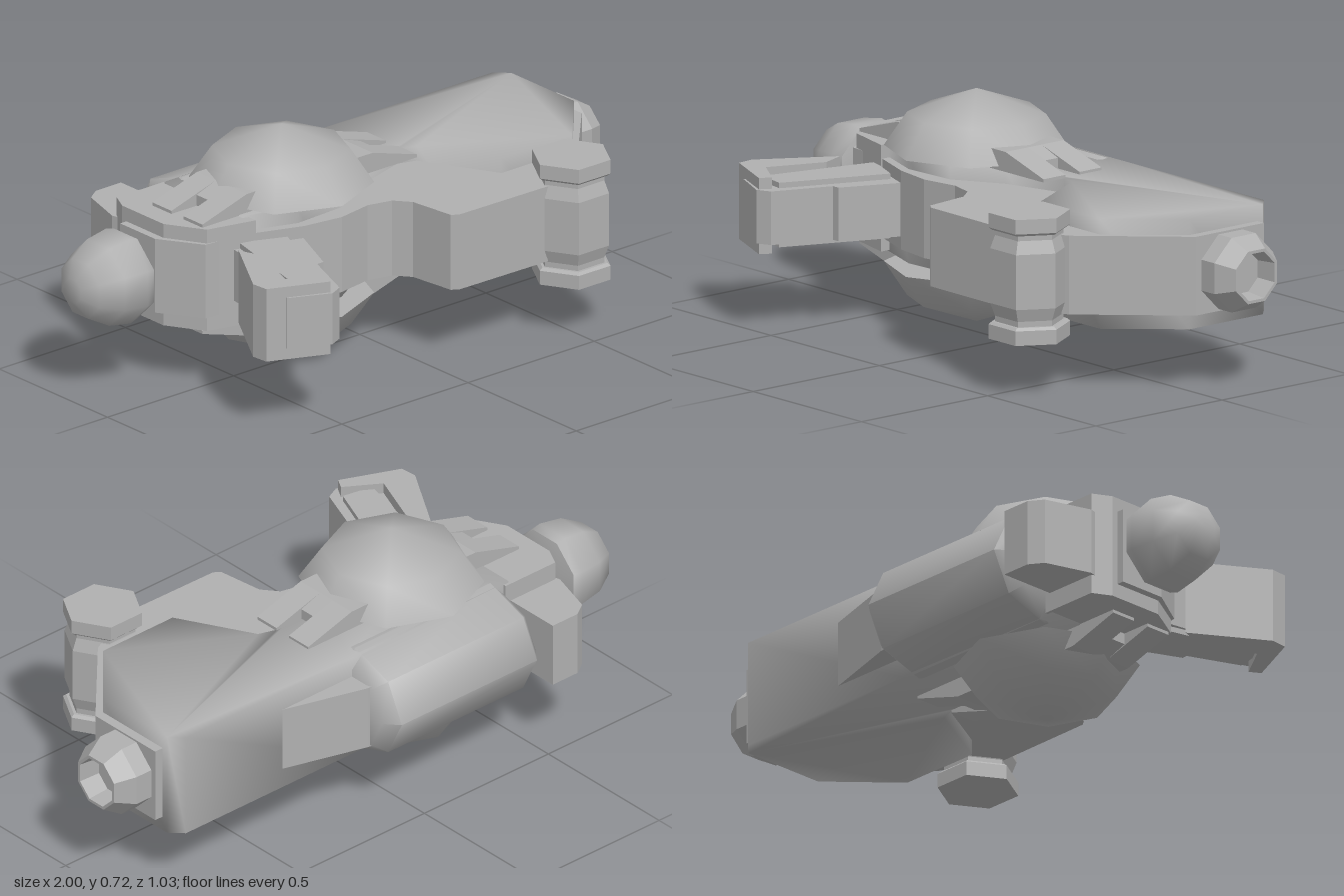
import * as THREE from 'three';
import { mergeVertices, toCreasedNormals } from 'three/addons/utils/BufferGeometryUtils.js';

const MID = 0.366; // height of the symmetry plane

export function createModel() {
  const model = new THREE.Group();
  model.name = 'toyBlaster';
  const grey = new THREE.MeshStandardMaterial({ color: 0xb0b0b0 });
  grey.name = 'lightGrey';

  const add = (name, geo) => {
    const mesh = new THREE.Mesh(geo, grey);
    mesh.name = name;
    model.add(mesh);
    return mesh;
  };

  // Plate with an outline of [x, z] points, from height y0 to y1
  const plate = (points, y0, y1) => {
    const shape = new THREE.Shape(points.map(([x, z]) => new THREE.Vector2(x, -z)));
    const geo = new THREE.ExtrudeGeometry(shape, { depth: y1 - y0, bevelEnabled: false });
    return geo.rotateX(-Math.PI / 2).translate(0, y0, 0);
  };
  const midPlate = (points, half) => plate(points, MID - half, MID + half);

  // One normal per corner, for the softly shaded body
  const soften = (geo) => {
    geo.deleteAttribute('uv');
    geo.deleteAttribute('normal');
    const merged = mergeVertices(geo, 1e-4);
    merged.computeVertexNormals();
    return merged;
  };

  // Turned part with [radius, height] points
  const turned = (profile, sides, crease, spin = 0) => {
    const geo = new THREE.LatheGeometry(profile.map(([r, h]) => new THREE.Vector2(r, h)), sides);
    return toCreasedNormals(geo.rotateY(spin), crease);
  };
  // Turned part lying along x, profile heights being x positions
  const turnedX = (profile, z, crease) =>
    turned(profile, 8, crease, Math.PI / 8).rotateZ(-Math.PI / 2).translate(0, MID, z);

  // Central slab with the lower front edge
  add('frame', midPlate([
    [0.88, -0.27], [0.88, 0], [0.62, 0.28], [0.43, 0.37], [0.08, 0.365], [0.06, 0.35],
    [0.04, 0.2], [0, 0.15], [-0.08, 0.13], [-0.2, 0.15], [-0.33, 0.13], [-0.55, 0.05], [-0.55, -0.27],
  ], 0.122));

  // Thick barrel housing
  add('barrel', soften(midPlate([
    [-0.5, -0.32], [0.14, -0.33], [0.81, -0.33], [0.85, -0.29], [0.85, 0], [0.67, 0.2],
    [0.39, 0.2], [0.26, -0.04], [0.2, -0.06], [0, 0], [-0.15, 0.09], [-0.33, 0.1], [-0.5, 0.04],
  ], 0.17)));
  add('barrelFairing', midPlate([[0.12, -0.3], [0.12, -0.415], [0.15, -0.41], [0.42, -0.33], [0.42, -0.3]], 0.105));

  // Nozzle with an open bore
  add('nozzle', turnedX([
    [0, 0.85], [0.125, 0.85], [0.125, 0.94], [0.088, 1], [0.078, 1], [0.07, 0.93], [0, 0.93],
  ], -0.137, 0.5));

  // Long tank at the back
  const tank = turned([[0, -0.48], [0.165, -0.48], [0.21, -0.445], [0.21, 0.1], [0.165, 0.14], [0, 0.14]], 8, 0.9);
  add('tank', tank.rotateZ(-Math.PI / 2).scale(1, 0.842, 1).translate(0, MID, -0.3));

  // Rear block and the fin behind it
  add('rearBlock', midPlate([
    [-0.48, -0.33], [-0.68, -0.33], [-0.71, -0.27], [-0.71, -0.08], [-0.64, 0.04], [-0.48, 0.08],
  ], 0.165));
  add('rearCore', midPlate([[-0.6, -0.25], [-0.735, -0.25], [-0.735, -0.09], [-0.65, 0.045], [-0.5, 0.06]], 0.12));
  add('rearFin', midPlate([
    [-0.5, -0.3], [-0.5, -0.52], [-0.6, -0.52], [-0.645, -0.49], [-0.69, -0.34], [-0.68, -0.3],
  ], 0.105));

  // Pump knob on its rod
  add('knob', turnedX([
    [0, -1], [0.04, -1], [0.095, -0.97], [0.135, -0.9], [0.148, -0.82], [0.14, -0.79], [0.08, -0.775], [0, -0.775],
  ], -0.16, 0.9));
  add('knobRod', turnedX([[0.05, -0.8], [0.05, -0.65]], -0.16, 0.9));

  // Slanted grip: narrow front half, wider back strap
  add('grip', midPlate([
    [-0.55, 0.05], [-0.33, 0.12], [-0.41, 0.31], [-0.435, 0.31], [-0.505, 0.495], [-0.55, 0.515],
    [-0.68, 0.455], [-0.57, 0.2],
  ], 0.083));
  add('gripCore', midPlate([[-0.53, 0.06], [-0.39, 0.12], [-0.52, 0.45], [-0.62, 0.43]], 0.1));
  add('gripStrap', midPlate([
    [-0.6, 0.14], [-0.57, 0.22], [-0.64, 0.4], [-0.53, 0.47], [-0.55, 0.505], [-0.735, 0.425], [-0.74, 0.37],
  ], 0.118));

  // Six-sided pillar at the front
  const post = [
    [0, -0.195], [0.125, -0.195], [0.125, -0.15], [0.115, -0.142], [0.105, -0.142], [0.105, -0.125],
    [0.12, -0.085], [0.12, 0.085], [0.105, 0.125], [0.105, 0.142], [0.115, 0.142], [0.125, 0.15],
    [0.125, 0.195], [0, 0.195],
  ];
  add('pillar', turned(post, 6, 0.3, Math.PI / 6).translate(0.53, MID, 0.36));

  // Dome and clasp on both faces
  for (const side of [1, -1]) {
    const face = side > 0 ? 'Upper' : 'Lower';

    const dome = turned([[0, 0.18], [0.28, 0.18], [0.21, 0.284], [0, 0.361]], 8, 1);
    if (side < 0) dome.rotateX(Math.PI);
    add('dome' + face, dome.translate(-0.235, MID, -0.088));

    // Sloped clasp strips, the middle one shorter to leave the notches
    const strips = [[-0.205, -0.118, 0], [-0.118, -0.062, 0.1], [-0.062, 0.025, 0]];
    for (const [z0, z1, cut] of strips) {
      const tip = 0.425 - cut;
      const tipTop = 0.178 + cut * 0.25;
      const outline = [[-tip, 0.168], [tip, 0.168], [tip, tipTop], [0.25, 0.23], [-0.25, 0.23], [-tip, tipTop]];
      const shape = new THREE.Shape(outline.map(([x, y]) => new THREE.Vector2(x - 0.22, y * side)));
      const geo = new THREE.ExtrudeGeometry(shape, { depth: z1 - z0, bevelEnabled: false });
      add('clasp' + face, geo.translate(0, MID, z0));
    }
  }

  return model;
}
